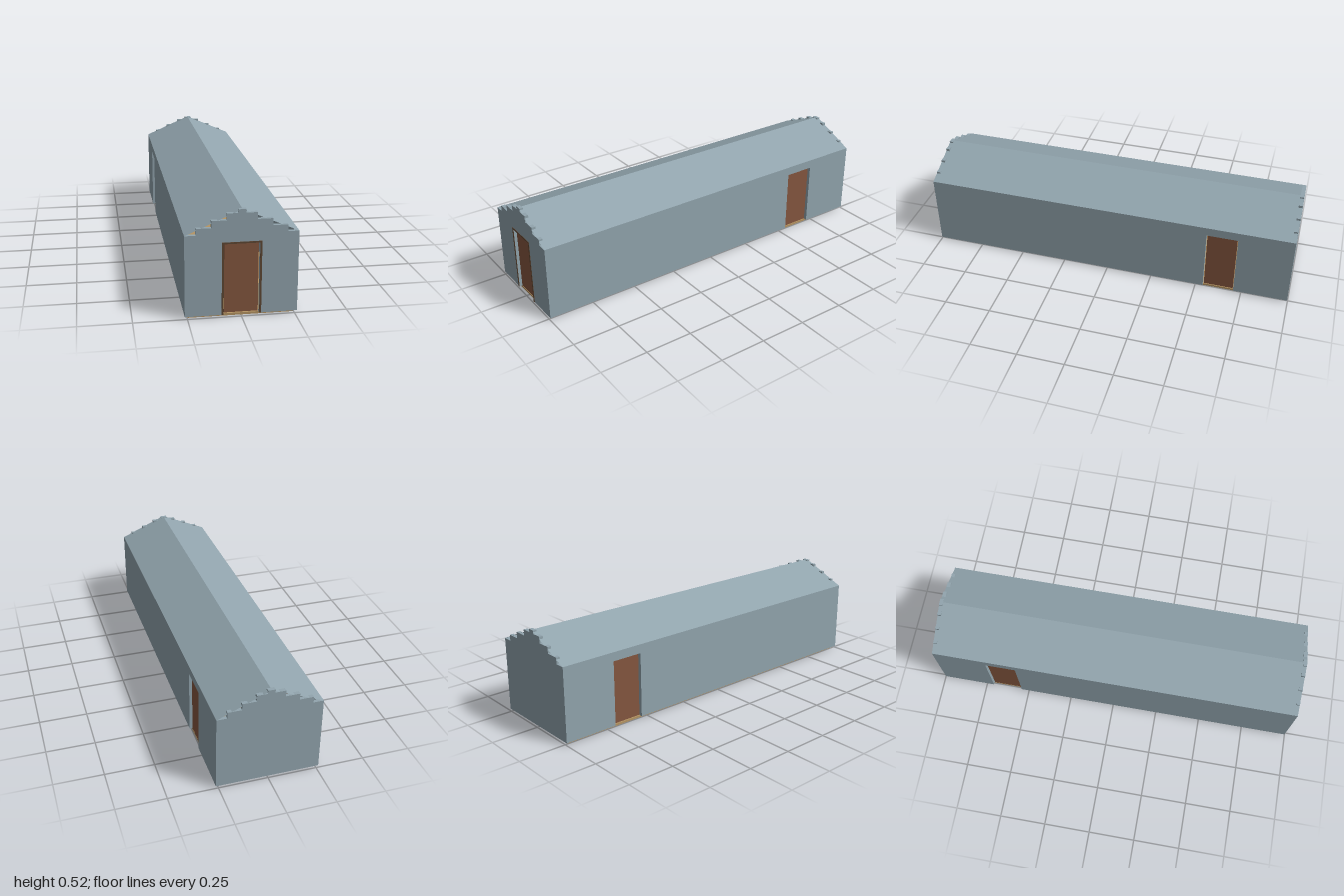
import * as THREE from 'three';

const HALF_W = 0.262, BASE = 0.011, EAVE = 0.403, RIDGE = 0.517;
const END = 0.998, THICK = 0.02;            // outer end of gables, wall thickness
const OPEN = 0.083, OPEN_TOP = 0.356;       // doorway half width and top
const DOOR_Z = -0.625;                      // centre of the side doors

const mat = (color, side = THREE.FrontSide) =>
  new THREE.MeshStandardMaterial({ color, side, flatShading: true });
const wallMat = mat(0x92a5ae);
const roofMat = mat(0x92a5ae, THREE.DoubleSide);
const doorMat = mat(0x85573f);
const frameMat = mat(0x5f4733);
const floorMat = mat(0xb59463);

function add(parent, name, geometry, material, x = 0, y = 0, z = 0) {
  const mesh = new THREE.Mesh(geometry, material);
  mesh.name = name;
  mesh.position.set(x, y, z);
  parent.add(mesh);
  return mesh;
}

const polygon = pts => new THREE.Shape(pts.map(p => new THREE.Vector2(...p)));
const extrude = (shape, depth) =>
  new THREE.ExtrudeGeometry(shape, { depth, bevelEnabled: false });

// Bottom edge running left to right, broken by a doorway up from the floor
const doorway = c => [
  [c - OPEN, BASE], [c - OPEN, OPEN_TOP], [c + OPEN, OPEN_TOP], [c + OPEN, BASE],
];

// End wall with a stepped top
function gable(withDoor) {
  const steps = [[HALF_W, EAVE], [0.21, 0.435], [0.14, 0.468], [0.07, 0.5], [0.018, RIDGE]];
  const right = [];
  steps.forEach(([x, y], i) => {
    right.push([x, y]);
    if (i < steps.length - 1) right.push([steps[i + 1][0], y]);
  });
  const left = right.map(([x, y]) => [-x, y]).reverse();
  return extrude(polygon([
    [-HALF_W, BASE], ...(withDoor ? doorway(0) : []), [HALF_W, BASE], ...right, ...left,
  ]), THICK);
}

// Long wall drawn along z, then turned so its thickness runs along x
function sideWall() {
  const e = END - THICK;
  return extrude(polygon([
    [-e, BASE], ...doorway(DOOR_Z), [e, BASE], [e, EAVE], [-e, EAVE],
  ]), THICK).rotateY(-Math.PI / 2);
}

// One thin sloping roof sheet, side = 1 or -1
function roofSheet(side) {
  const x = side * HALF_W, g = new THREE.BufferGeometry();
  g.setAttribute('position', new THREE.Float32BufferAttribute([
    0, RIDGE, -END, 0, RIDGE, END, x, EAVE, END, x, EAVE, -END,
  ], 3));
  g.setIndex(side > 0 ? [0, 1, 2, 0, 2, 3] : [0, 2, 1, 0, 3, 2]);
  g.computeVertexNormals();
  return g;
}

export function createModel() {
  const model = new THREE.Group();
  model.name = 'longHouse';

  add(model, 'floor', new THREE.BoxGeometry(0.494, BASE, 1.965), floorMat, 0, BASE / 2, 0);

  // Walls and roof
  add(model, 'frontGable', gable(true), wallMat, 0, 0, END - THICK);
  add(model, 'backGable', gable(false), wallMat, 0, 0, -END);
  add(model, 'rightWall', sideWall(), wallMat, -HALF_W + THICK);
  add(model, 'leftWall', sideWall(), wallMat, HALF_W);
  add(model, 'rightRoof', roofSheet(-1), roofMat);
  add(model, 'leftRoof', roofSheet(1), roofMat);

  // Doors set back in their openings with a small gap all round
  const doorGeo = new THREE.BoxGeometry(0.158, 0.336, 0.006);
  const doorY = 0.184;
  add(model, 'frontDoor', doorGeo, doorMat, 0, doorY, END - 0.017);
  for (const side of [-1, 1]) {
    const door = add(model, side > 0 ? 'leftDoor' : 'rightDoor', doorGeo, doorMat,
      side * (HALF_W - 0.017), doorY, DOOR_Z);
    door.rotation.y = side * Math.PI / 2;
  }

  // Thin surround standing just proud of the front wall
  const w = 0.092, top = 0.364;
  const surround = polygon([
    [-w, BASE], [-OPEN, BASE], [-OPEN, OPEN_TOP], [OPEN, OPEN_TOP],
    [OPEN, BASE], [w, BASE], [w, top], [-w, top],
  ]);
  add(model, 'frontDoorFrame', extrude(surround, 1 - END), frameMat, 0, 0, END);

  return model;
}
